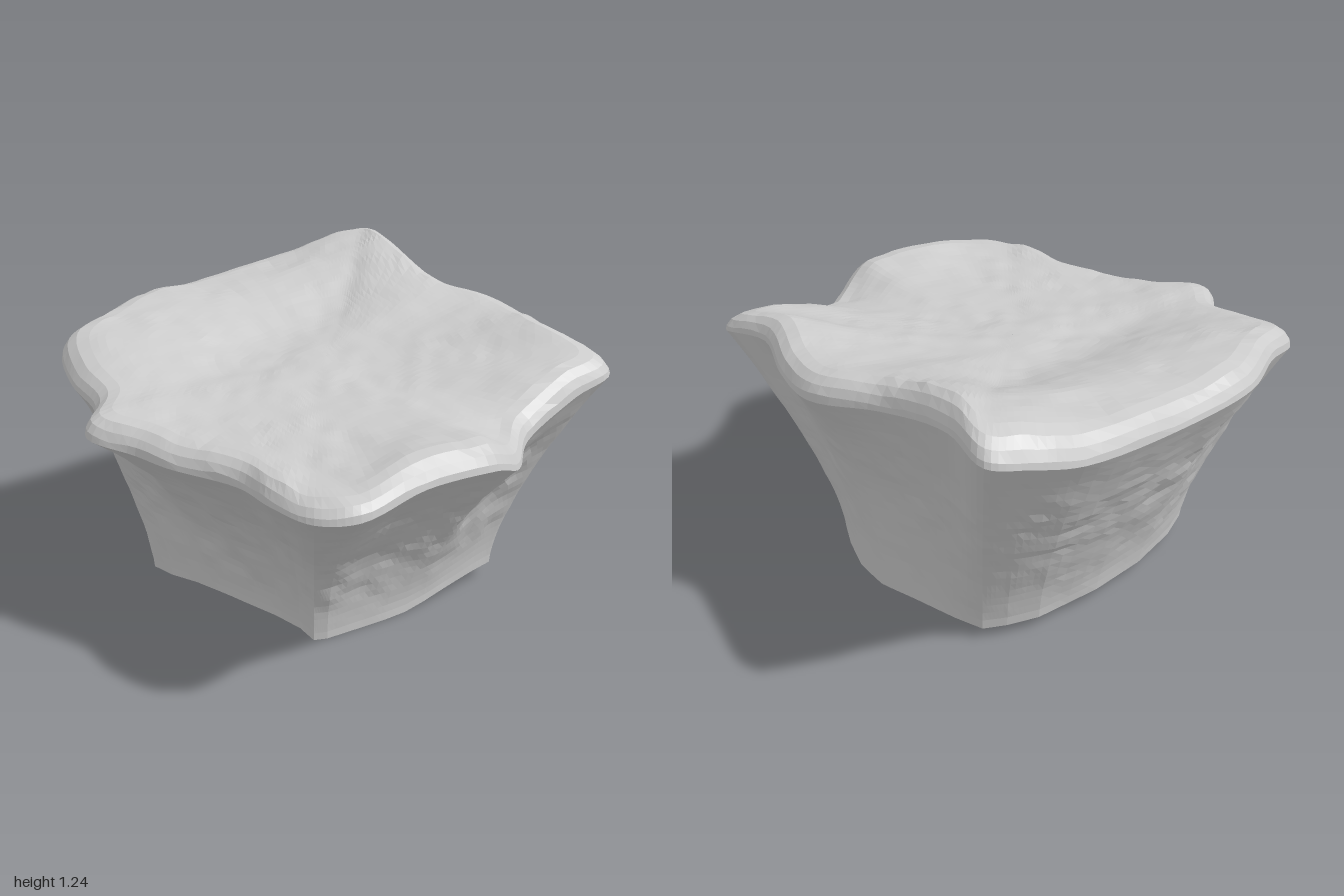
import * as THREE from 'three';

// Stations clockwise from the front right corner: rim x, z, y, then foot x, z
const STATIONS = [
  // front
  [0.83, 0.76, 0.95, 0.58, 0.40], [0.62, 0.78, 0.90, 0.48, 0.40], [0.34, 0.81, 0.80, 0.33, 0.41],
  [0.18, 0.93, 0.77, 0.20, 0.42], [0.00, 1.00, 0.83, 0.00, 0.42], [-0.30, 0.97, 0.83, -0.15, 0.41],
  [-0.58, 0.96, 0.78, -0.28, 0.40], [-0.70, 0.86, 0.77, -0.33, 0.38],
  // left
  [-0.74, 0.67, 0.78, -0.32, 0.28], [-0.73, 0.47, 0.78, -0.34, 0.15], [-0.83, 0.17, 0.78, -0.38, 0.00],
  [-0.87, 0.02, 0.79, -0.40, -0.08], [-0.96, -0.17, 0.82, -0.42, -0.15], [-0.82, -0.35, 0.84, -0.45, -0.25],
  [-0.79, -0.58, 0.88, -0.50, -0.36], [-0.70, -0.80, 0.94, -0.52, -0.46],
  // back
  [-0.50, -0.87, 0.98, -0.38, -0.52], [-0.25, -0.98, 1.00, -0.15, -0.57], [0.10, -1.00, 1.01, 0.10, -0.58],
  [0.60, -0.99, 1.06, 0.38, -0.55], [0.80, -0.94, 1.11, 0.50, -0.50], [0.93, -0.87, 1.14, 0.58, -0.45],
  // right
  [0.89, -0.65, 1.15, 0.61, -0.32], [0.86, -0.25, 1.04, 0.64, -0.12], [0.95, 0.05, 0.99, 0.67, 0.05],
  [0.91, 0.27, 0.99, 0.66, 0.20], [0.82, 0.50, 1.00, 0.62, 0.32],
];
const COLS = STATIONS.length * 6;
const SIDE_ROWS = 24;
// Top rings from the rim inwards: scale, lift above the rim line
const LIP = [[0.995, 0.025], [0.975, 0.055], [0.94, 0.08], [0.89, 0.09]];
const TOP_ROWS = 28;
const CENTRE = new THREE.Vector2(0.04, -0.03);

// Smooth value noise in -1..1
function hash(x, y, z) {
  const s = Math.sin(x * 127.1 + y * 311.7 + z * 74.7) * 43758.5453;
  return (s - Math.floor(s)) * 2 - 1;
}
function noise(x, y, z) {
  const [ix, iy, iz] = [x, y, z].map(Math.floor);
  const [u, v, w] = [x - ix, y - iy, z - iz].map(t => t * t * (3 - 2 * t));
  const mix = THREE.MathUtils.lerp;
  const row = (b, c) => mix(hash(ix, b, c), hash(ix + 1, b, c), u);
  return mix(mix(row(iy, iz), row(iy + 1, iz), v), mix(row(iy, iz + 1), row(iy + 1, iz + 1), v), w);
}
const crag = p => 0.55 * noise(p.x * 5, p.y * 6, p.z * 5) + 0.45 * noise(p.x * 13, p.y * 15, p.z * 13);

// Tilted, shallow dish on top, with a trough and a raised shelf towards the back
const hump = (z, at) => Math.exp(-(((z - at) / 0.15) ** 2));
const dish = (x, z) => {
  const bend = z + 0.06 * Math.sin(x * 4);
  return 0.94 + 0.1 * x - 0.1 * z + 0.07 * (x * x + z * z)
    + 0.025 * (hump(bend, -0.68) - hump(bend, -0.32));
};

// Foot line, lifted at the front right corner
const footHeight = (x, z) =>
  0.025 - 0.055 * z + 0.9 * Math.max(0, x - 0.1) * Math.max(0, z) ** 2;

function rockGeometry() {
  const rim = new THREE.CatmullRomCurve3(
    STATIONS.map(([x, z, y]) => new THREE.Vector3(x, y, z)), true);
  const footAt = t => {
    const f = t * STATIONS.length, i = Math.floor(f), n = STATIONS.length;
    const a = STATIONS[i % n], b = STATIONS[(i + 1) % n];
    const x = THREE.MathUtils.lerp(a[3], b[3], f - i), z = THREE.MathUtils.lerp(a[4], b[4], f - i);
    return new THREE.Vector3(x, footHeight(x, z), z);
  };
  const columns = Array.from({ length: COLS }, (_, i) => ({
    rim: rim.getPoint(i / COLS), foot: footAt(i / COLS),
  }));
  const rings = [];

  // Underside
  for (const s of [0.001, 0.5])
    rings.push(columns.map(c => new THREE.Vector3(0.08, 0.035, -0.08).lerp(c.foot, s)));

  // Flaring sides with rough relief, straighter along the front right corner
  for (let j = 0; j <= SIDE_ROWS; j++) {
    const t = j / SIDE_ROWS;
    rings.push(columns.map(({ rim: r, foot: f }) => {
      const flank = (r.x > 0 ? 1.1 : 0.8) * Math.abs(r.x) * Math.max(0, 1 - 1.3 * Math.abs(r.z));
      const power = 1.55 + 0.25 * r.z + flank - 0.5 * Math.max(0, r.x) * Math.max(0, r.z);
      const p = f.clone().lerp(r, Math.pow(t, power));
      p.y = THREE.MathUtils.lerp(f.y, r.y, t);
      const out = new THREE.Vector3(r.x, -0.3, r.z).normalize();
      const rough = r.x > 0.8 ? 0.01 : 0.02;
      return p.addScaledVector(out, crag(p) * rough * Math.sin(Math.PI * t));
    }));
  }

  // Rounded lip
  for (const [s, lift] of LIP)
    rings.push(columns.map(({ rim: r }) => {
      const p = new THREE.Vector3(
        THREE.MathUtils.lerp(CENTRE.x, r.x, s), r.y + lift, THREE.MathUtils.lerp(CENTRE.y, r.z, s));
      p.y += 0.014 * crag(p);
      return p;
    }));

  // Dished top
  const [lastScale, lastLift] = LIP[LIP.length - 1];
  for (let j = 1; j <= TOP_ROWS; j++) {
    const k = Math.max(1 - j / TOP_ROWS, 0.001);
    rings.push(columns.map(({ rim: r }) => {
      const x = THREE.MathUtils.lerp(CENTRE.x, r.x, lastScale * k);
      const z = THREE.MathUtils.lerp(CENTRE.y, r.z, lastScale * k);
      const p = new THREE.Vector3(x, THREE.MathUtils.lerp(dish(x, z), r.y + lastLift, k ** 3), z);
      p.y += 0.013 * crag(p);
      return p;
    }));
  }

  // Stitch the rings together
  const positions = rings.flat().flatMap(p => [p.x, p.y, p.z]);
  const index = [];
  for (let j = 0; j < rings.length - 1; j++)
    for (let i = 0; i < COLS; i++) {
      const n = (i + 1) % COLS;
      const a = j * COLS + i, b = j * COLS + n, c = b + COLS, d = a + COLS;
      index.push(a, d, c, a, c, b);
    }
  const geometry = new THREE.BufferGeometry();
  geometry.setAttribute('position', new THREE.Float32BufferAttribute(positions, 3));
  geometry.setIndex(index);
  geometry.computeVertexNormals();
  return geometry;
}

export function createModel() {
  const group = new THREE.Group();
  group.name = 'rockFormation';
  const rock = new THREE.Mesh(
    rockGeometry(),
    new THREE.MeshStandardMaterial({ color: 0xcccccc, flatShading: true }));
  rock.name = 'flaredRock';
  group.add(rock);
  return group;
}
